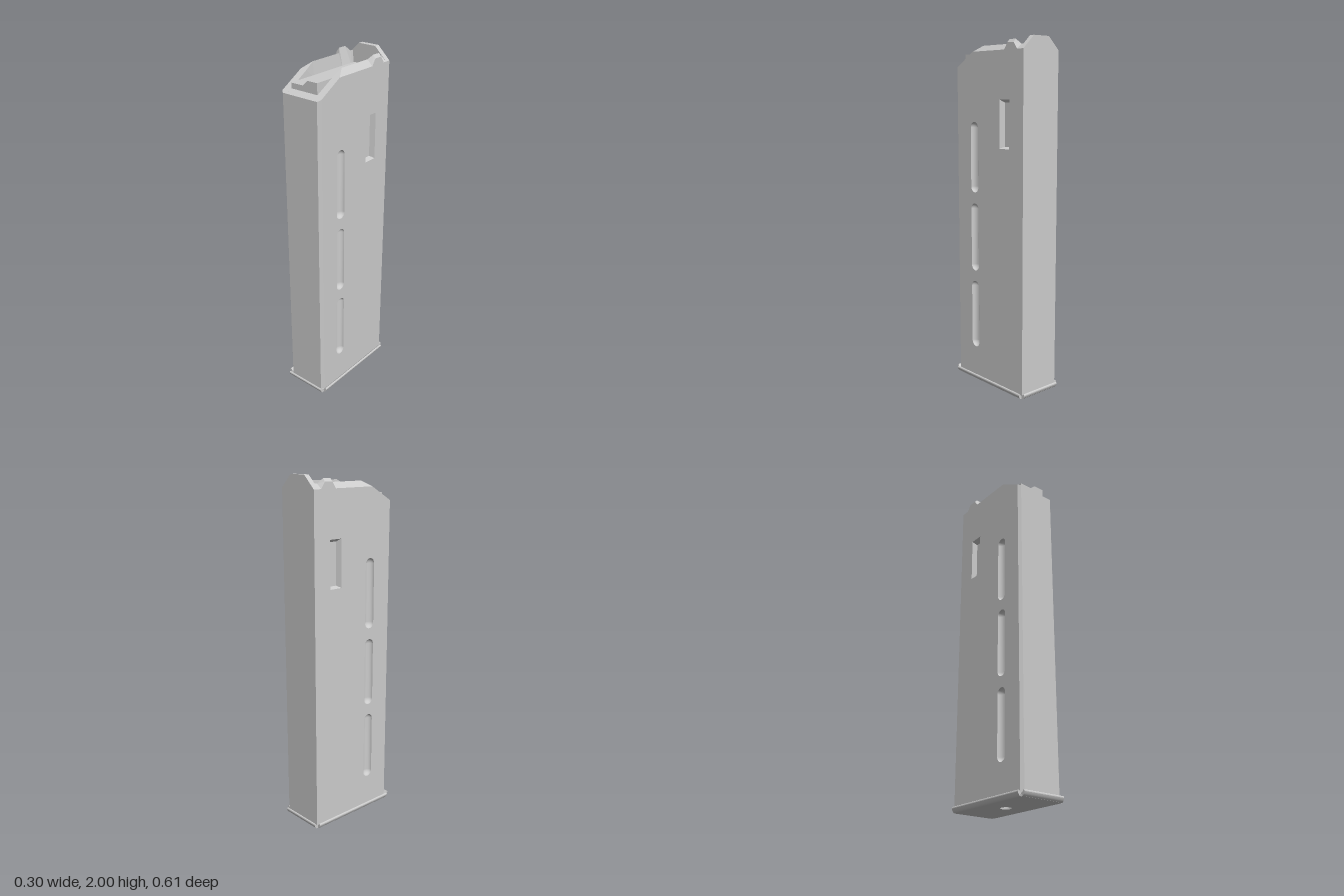
import * as THREE from 'three';

const MAT = new THREE.MeshStandardMaterial({ color: 0xcccccc, side: THREE.DoubleSide });
const BASE = 0.012, WALL = 0.13, IN = 0.088, BACK = -0.255;

function add(parent, name, geometry) {
  const mesh = new THREE.Mesh(geometry, MAT);
  mesh.name = name;
  parent.add(mesh);
  return mesh;
}

// Surface through rows of points, flat or smooth, optionally closed along each row
function grid(rows, { closed = false, smooth = false } = {}) {
  const n = rows[0].length, index = [];
  for (let i = 0; i < rows.length - 1; i++) {
    for (let j = 0; j < (closed ? n : n - 1); j++) {
      const k = (j + 1) % n;
      const a = i * n + j, b = i * n + k, c = b + n, d = a + n;
      index.push(a, c, b, a, d, c);
    }
  }
  let g = new THREE.BufferGeometry();
  g.setAttribute('position', new THREE.Float32BufferAttribute(rows.flat(2), 3));
  g.setIndex(index);
  if (!smooth) g = g.toNonIndexed();
  g.computeVertexNormals();
  return g;
}

const shapeOf = pts => new THREE.Shape(pts.map(p => new THREE.Vector2(...p)));
const extrude = (shape, depth) => new THREE.ExtrudeGeometry(shape, { depth, bevelEnabled: false, curveSegments: 24 });

// Outline of an upright slot, as [z, y] pairs
const R = 0.0325;
function slot(y0, y1, r) {
  const pts = [], n = 12;
  for (const [cy, start] of [[y1 - R, 0], [y0 + R, Math.PI]])
    for (let k = 0; k <= n; k++) {
      const t = start + Math.PI * k / n;
      pts.push([0.12 + r * Math.cos(t), cy + r * Math.sin(t)]);
    }
  return pts;
}
const rect = (z0, z1, y0, y1) => [[z1, y0], [z1, y1], [z0, y1], [z0, y0]];
const ring = (pts, x) => pts.map(([z, y]) => [x, y, z]);

const SLOTS = [[0.2, 0.605], [0.67, 1.07], [1.135, 1.54]];
const WINDOW = rect(-0.176, -0.095, 1.4, 1.667);

// Rim stations from front to back: z, outer x, outer y, inner x, inner y
const RIM = [
  [0.285, 0.115, 1.84, IN, 1.84],
  [0.27, WALL, 1.849, IN, 1.849],
  [0.25, WALL, 1.86, IN, 1.86],
  [0.13, WALL, 1.929, 0.09, 1.929],
  [0.075, WALL, 1.929, 0.097, 1.96],
  [-0.135, WALL, 1.929, 0.097, 1.96],
  [-0.16, WALL, 1.965, 0.115, 1.982],
  [-0.21, WALL, 1.965, 0.115, 1.982],
  [-0.235, WALL, 1.929, 0.097, 1.955],
  [BACK, WALL, 1.929, 0.097, 1.955],
];

// One side of the case, built at +x
function createSide() {
  const side = new THREE.Group();

  // Outer wall with openings for the grooves and the window
  const top = RIM.slice(1).map(([z, , y]) => [-z, y]);
  const wall = shapeOf([[-0.27, BASE], ...top, [-BACK, BASE]].reverse());
  for (const pts of [...SLOTS.map(([a, b]) => slot(a, b, R)), WINDOW])
    wall.holes.push(new THREE.Path(pts.map(([z, y]) => new THREE.Vector2(-z, y))));
  add(side, 'sideWall', new THREE.ShapeGeometry(wall).rotateY(Math.PI / 2).translate(WALL, 0, 0));

  // Concave grooves
  for (const [y0, y1] of SLOTS) {
    const rows = [];
    for (let i = 0; i <= 6; i++) {
      const a = (i / 6) * Math.PI / 2;
      rows.push(ring(slot(y0, y1, R * Math.cos(a)), WALL - 0.026 * Math.sin(a)));
    }
    add(side, 'groove', grid(rows, { closed: true, smooth: true }));
  }

  // Recessed window
  const inner = rect(-0.165, -0.108, 1.41, 1.65);
  const centre = inner.map(() => [-0.137, 1.53]);
  add(side, 'window', grid([ring(WINDOW, WALL), ring(inner, 0.1), ring(centre, 0.1)], { closed: true }));

  // Sloped rim, inward lip and raised tab
  add(side, 'feedLip', grid(RIM.map(([z, xo, yo, xi, yi]) =>
    [[xo, yo, z], [xi, yi, z], [IN, Math.min(yi, 1.87), z]])));

  // Curled rail along the floor plate
  const rail = add(side, 'sideRail', extrude(railProfile(), 0.556));
  rail.position.set(WALL, 0, -0.28);
  return side;
}

// Rail section: x outward from the case, y up
function railProfile() {
  const s = new THREE.Shape();
  s.moveTo(-0.006, 0);
  s.lineTo(0.004, 0);
  s.quadraticCurveTo(0.014, 0.004, 0.02, 0.022);
  s.quadraticCurveTo(0.02, 0.032, 0.013, 0.032);
  s.lineTo(0.0, 0.018);
  s.lineTo(-0.006, 0.018);
  return s;
}

export function createModel() {
  const model = new THREE.Group();
  model.name = 'boxMagazine';

  const left = createSide();
  left.name = 'leftSide';
  const right = createSide();
  right.name = 'rightSide';
  right.scale.x = -1;
  model.add(left, right);

  // Front wall with chamfered corners, and its sloped rim
  const front = [[WALL, 0.27, 1.849], [0.115, 0.285, 1.84], [-0.115, 0.285, 1.84], [-WALL, 0.27, 1.849]];
  add(model, 'frontWall', grid([front.map(([x, z]) => [x, BASE, z]), front.map(([x, z, y]) => [x, y, z])]));
  add(model, 'frontRim', grid([
    [[IN, 1.84, 0.285], [-IN, 1.84, 0.285]],
    [[IN, 1.86, 0.25], [-IN, 1.86, 0.25]],
  ]));

  // Back plate with clipped top corners
  const back = shapeOf([[-WALL, BASE], [WALL, BASE], [WALL, 1.929], [0.055, 2], [-0.055, 2], [-WALL, 1.929]]);
  add(model, 'backPlate', extrude(back, 0.03)).position.z = BACK - 0.03;

  // Follower with a stepped top
  const follower = shapeOf([[-0.087, 1.8], [0.087, 1.8], [0.087, 1.92], [0.025, 1.92], [-0.01, 1.89], [-0.087, 1.89]]);
  add(model, 'follower', extrude(follower, 0.505)).position.z = BACK;

  // Floor plate with a round hole, closed above by the case bottom
  const plate = shapeOf([[-0.132, -0.278], [-0.122, -0.288], [0.122, -0.288], [0.132, -0.278],
    [0.132, 0.278], [0.122, 0.288], [-0.122, 0.288], [-0.132, 0.278]]);
  plate.holes.push(new THREE.Path().absarc(0, 0, 0.032, 0, Math.PI * 2));
  add(model, 'floorPlate', extrude(plate, BASE).rotateX(-Math.PI / 2));
  add(model, 'caseBottom', new THREE.BoxGeometry(0.258, 0.006, 0.53)).position.y = BASE + 0.004;

  // Curled rails at the front and back of the floor plate
  for (const s of [1, -1]) {
    const rail = add(model, s > 0 ? 'frontRail' : 'backRail', extrude(railProfile(), 0.26));
    rail.rotation.y = -s * Math.PI / 2;
    rail.position.set(s * WALL, 0, s * 0.283);
  }
  return model;
}
